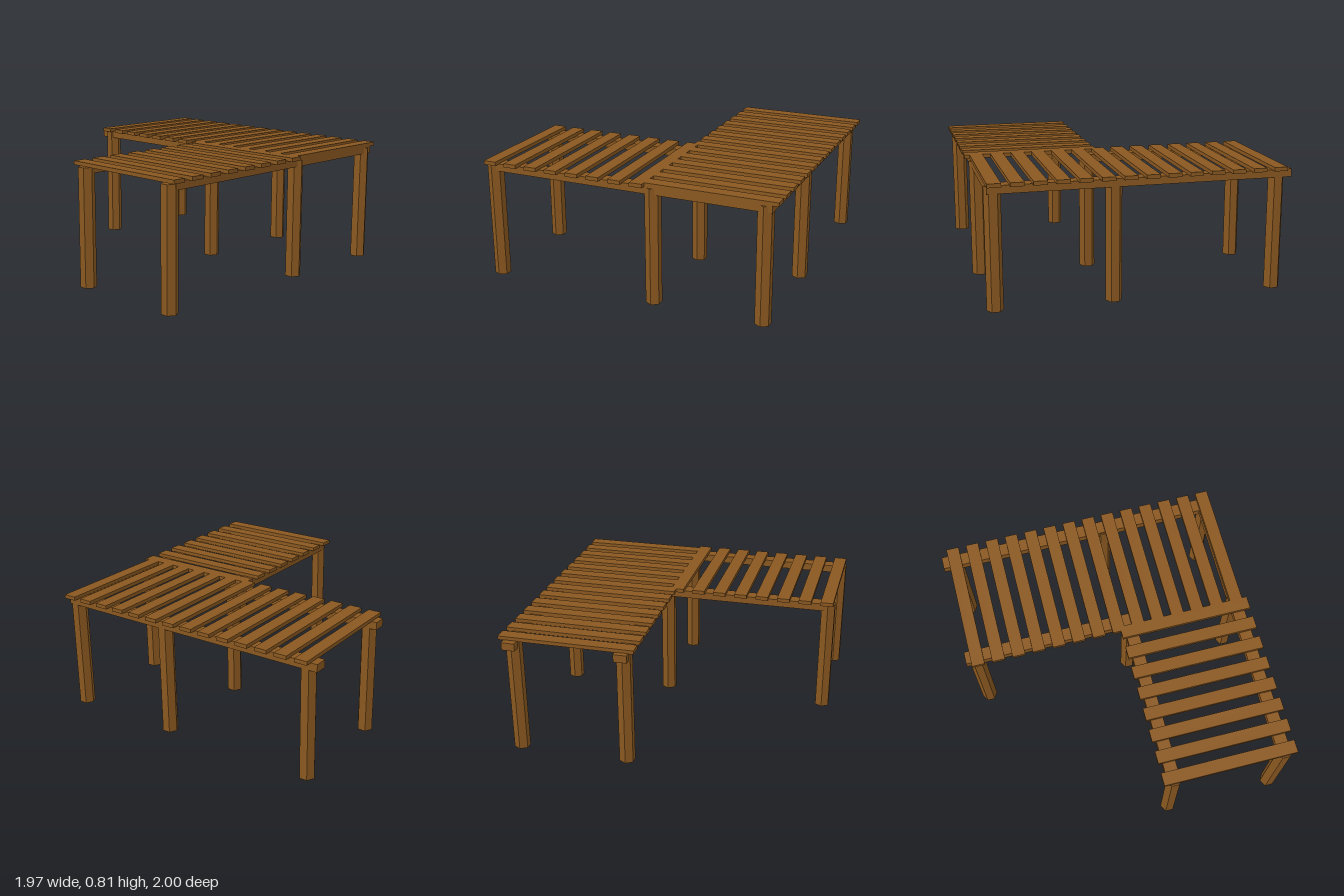
import * as THREE from 'three';

export function createModel() {
  const group = new THREE.Group();
  group.name = 'cornerPergola';
  const wood = new THREE.MeshStandardMaterial({ color: 0x8a5820 });
  wood.name = 'brown wood';

  // Axis-aligned timber given by its limits on each axis
  const timber = (name, x0, x1, y0, y1, z0, z1) => {
    const mesh = new THREE.Mesh(new THREE.BoxGeometry(x1 - x0, y1 - y0, z1 - z0), wood);
    mesh.position.set((x0 + x1) / 2, (y0 + y1) / 2, (z0 + z1) / 2);
    mesh.name = name;
    group.add(mesh);
  };

  // Hexagonal posts, corners pointing along x
  const POST_H = 0.777;
  const postGeo = new THREE.CylinderGeometry(0.0525, 0.0525, POST_H, 6).toNonIndexed();
  postGeo.rotateY(Math.PI / 2);
  postGeo.computeVertexNormals();
  const posts = [
    [-0.9, -0.91], [0.16, -0.91], [0.905, -0.91],
    [-0.9, -0.18], [0.16, -0.18], [0.905, -0.18],
    [0.16, 0.954], [0.905, 0.954],
  ];
  for (const [x, z] of posts) {
    const post = new THREE.Mesh(postGeo, wood);
    post.position.set(x, POST_H / 2, z);
    post.name = 'post';
    group.add(post);
  }

  // Beams of the two wings
  const B0 = 0.737, B1 = 0.788;
  timber('backBeam', -0.985, 0.943, B0, B1, -0.96, -0.873);
  timber('innerCrossBeam', -0.975, 0.2, B0, B1, -0.23, -0.143);
  timber('innerWingBeam', 0.114, 0.2, B0, B1, -0.143, 0.96);
  timber('outerWingBeam', 0.858, 0.943, B0, B1, -0.873, 0.96);

  // Slats over the back wing
  const S0 = 0.785, S1 = 0.81, HALF = 0.043;
  for (let i = 0; i < 14; i++) {
    const x = -0.897 + i * 0.1385;
    timber('backSlat', x - HALF, x + HALF, S0, S1, -1, -0.108);
  }
  // Slats over the front wing
  for (let i = 0; i < 8; i++) {
    const z = -0.098 + i * 0.1495;
    timber('wingSlat', 0.085, 0.98, S0, S1, z - HALF, z + HALF);
  }
  return group;
}
